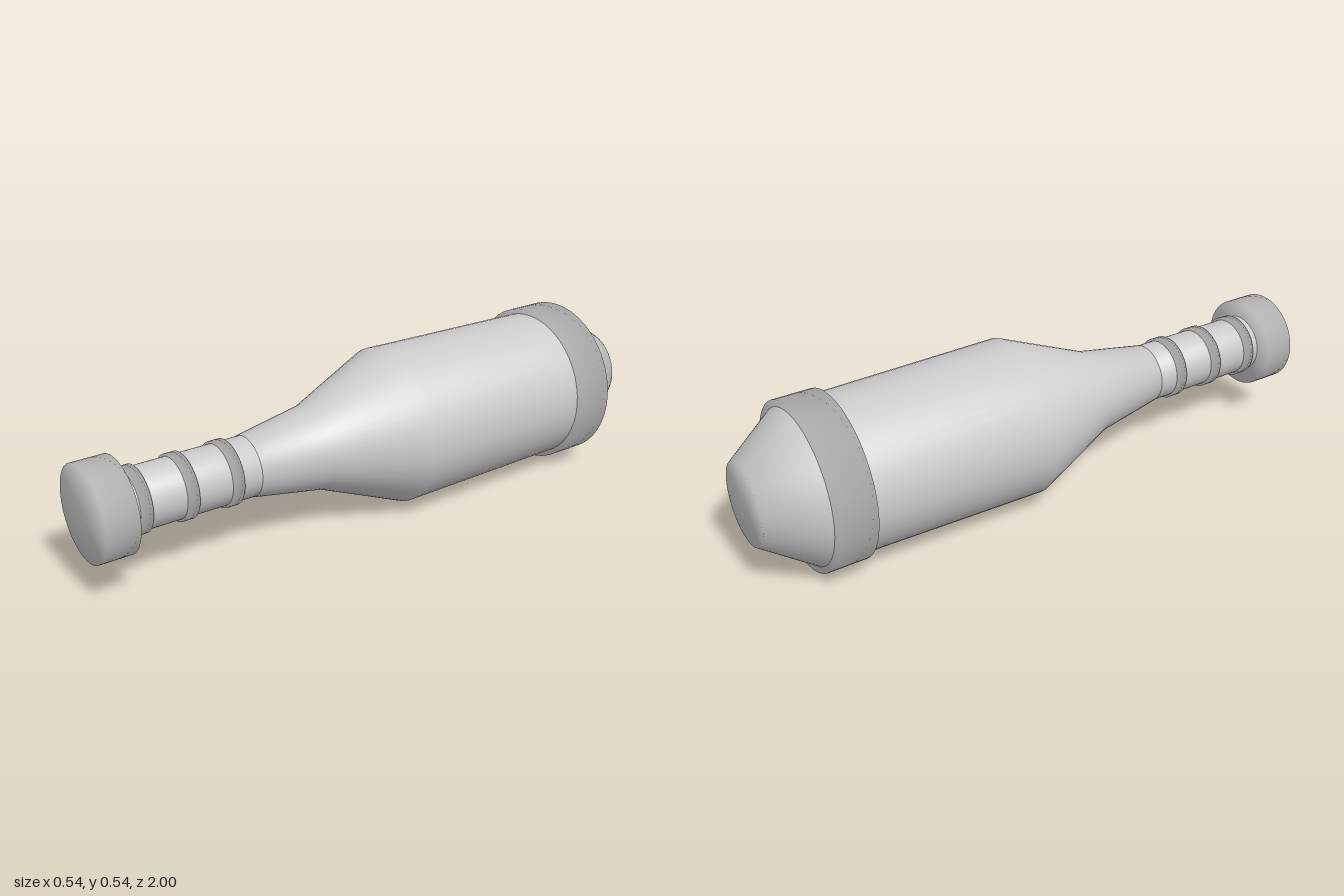
import * as THREE from 'three';

const SEGMENTS = 48;
const AXIS_HEIGHT = 0.268;

export function createModel() {
  const group = new THREE.Group();
  group.name = 'club';
  const material = new THREE.MeshStandardMaterial({ color: 0xcccccc });

  // Turned part along z: profile is [radius, z] from back to front
  function turned(name, profile) {
    const points = profile.map(([r, z]) => new THREE.Vector2(r, z));
    const geometry = new THREE.LatheGeometry(points, SEGMENTS);
    geometry.rotateX(Math.PI / 2);
    const mesh = new THREE.Mesh(geometry, material);
    mesh.name = name;
    mesh.position.y = AXIS_HEIGHT;
    group.add(mesh);
  }

  // Closed cylinder with softly shaded rims
  function drum(name, radius, back, front) {
    turned(name, [[0, back], [radius, back], [radius, front], [0, front]]);
  }

  // Chamfered tip, barrel and tapering neck
  turned('tip', [[0, -1], [0.132, -1], [0.25, -0.83], [0.25, -0.77]]);
  turned('barrel', [
    [0.25, -0.8], [0.251, -0.7], [0.26, -0.075],
    [0.14, 0.22], [0.099, 0.46], [0, 0.46],
  ]);
  drum('barrelBand', 0.268, -0.835, -0.705);

  // Handle with three raised rings
  drum('grip', 0.097, 0.44, 0.91);
  for (const z of [0.545, 0.697, 0.848]) {
    drum('gripRing', 0.105, z - 0.018, z + 0.018);
  }

  // End knob
  drum('pommel', 0.152, 0.893, 1);

  return group;
}
